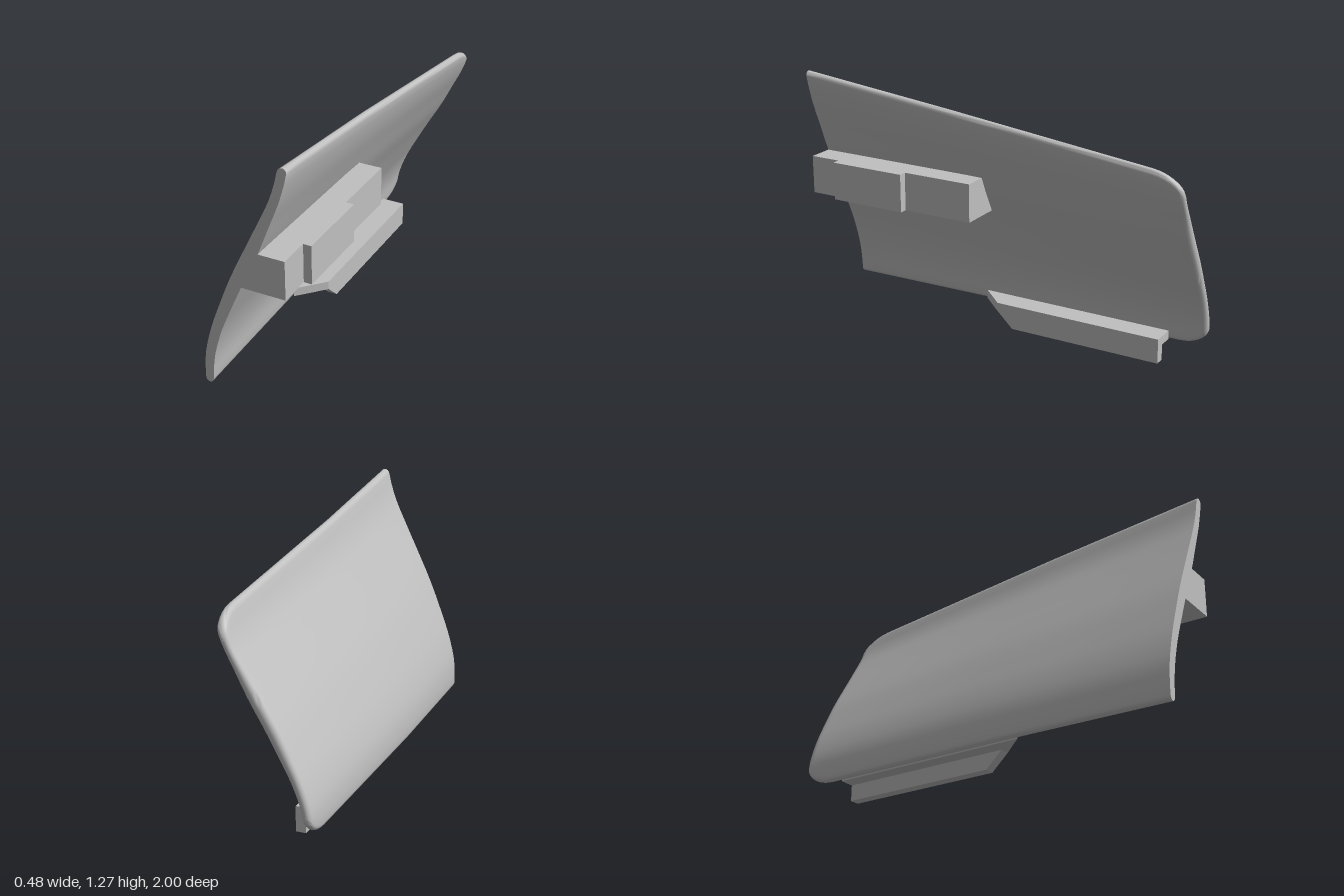
import * as THREE from 'three';
import { toCreasedNormals } from 'three/addons/utils/BufferGeometryUtils.js';

const BOTTOM = 0.08;

// S-shaped section, evenly spaced from bottom to top: (centre x, half thickness)
const section = new THREE.SplineCurve([
  [-0.207, 0.02], [-0.197, 0.024], [-0.158, 0.027], [-0.1, 0.031], [-0.037, 0.034],
  [0.033, 0.034], [0.099, 0.028], [0.162, 0.023], [0.2, 0.022],
].map(([x, h]) => new THREE.Vector2(x, h)));

// Quarter-round falloff towards an edge at distance d
function roundEdge(d, r) {
  const k = 1 - Math.min(d / r, 1);
  return Math.sqrt(Math.max(0, 1 - k * k));
}

// Curved panel lofted along z, with a sloping top and rounded rear corners
function panelGeometry() {
  const zs = [1, 0.9, 0.75, 0.6, 0.4, 0.2, 0, -0.2, -0.4, -0.6, -0.75, -0.85,
    -0.89, -0.92, -0.945, -0.965, -0.98, -0.99, -0.997, -1];
  const ends = [0, 0.002, 0.007, 0.014, 0.025];
  const inner = 24, n = ends.length * 2 + inner - 1;
  const pos = [], idx = [];

  for (const z of zs) {
    const top = 1.156 + 0.119 * z;
    const u = Math.max(0, (-0.85 - z) / 0.15);
    const inset = 0.1 * (1 - Math.sqrt(Math.max(0, 1 - u * u)));
    const lo = BOTTOM + inset, hi = top - inset;
    const shift = -0.018 * Math.min(1, (1 - z) / 0.8);
    const ys = ends.map((d) => lo + d);
    for (let k = 1; k < inner; k++) ys.push(lo + 0.025 + (hi - lo - 0.05) * k / inner);
    ys.push(...ends.map((d) => hi - d).reverse());

    const left = [], right = [];
    for (const y of ys) {
      const p = section.getPoint((y - BOTTOM) / (top - BOTTOM));
      const h = p.y * roundEdge(Math.min(y - lo, hi - y), 0.025) * roundEdge(z + 1, 0.025);
      left.push([p.x + shift - h, y, z]);
      right.push([p.x + shift + h, y, z]);
    }
    pos.push(...left.flat(), ...right.reverse().flat());
  }

  const ring = ys2(n);
  for (let i = 0; i < zs.length - 1; i++) {
    for (let j = 0; j < ring; j++) {
      const a = i * ring + j, b = i * ring + (j + 1) % ring;
      idx.push(a, b, a + ring, b, b + ring, a + ring);
    }
  }
  // Flat front end
  for (let k = 0; k < ring / 2 - 1; k++) {
    const r = ring - 1 - k;
    idx.push(k, r, k + 1, r, r - 1, k + 1);
  }

  const g = new THREE.BufferGeometry();
  g.setAttribute('position', new THREE.Float32BufferAttribute(pos, 3));
  g.setIndex(idx);
  return toCreasedNormals(g, 0.9);
}

// Points in a ring with n points on each side
function ys2(n) {
  return n * 2;
}

// Straight prism from a polygon
function prism(points, depth) {
  const shape = new THREE.Shape(points.map(([x, y]) => new THREE.Vector2(x, y)));
  return new THREE.ExtrudeGeometry(shape, { depth, bevelEnabled: false });
}

export function createModel() {
  const model = new THREE.Group();
  model.name = 'curvedPanel';
  const grey = new THREE.MeshStandardMaterial({ color: 0xc0c0c0 });
  grey.name = 'light grey';

  function add(name, geometry) {
    const mesh = new THREE.Mesh(geometry, grey);
    mesh.name = name;
    model.add(mesh);
  }

  add('panel', panelGeometry());

  // Mounting block on the inner face, with a raised pad
  add('mountingBlock', prism(
    [[-0.045, 0.643], [0.2, 0.643], [0.2, 0.835], [0.05, 0.835]], 0.925).translate(0, 0, 0.075));
  add('mountingPad', new THREE.BoxGeometry(0.05, 0.192, 0.4).translate(0.215, 0.739, 0.64));

  // Hooked ledge along the lower edge, tapered at its front
  add('ledge', prism(
    [[-0.205, -0.22], [-0.08, -0.085], [-0.08, 0.8], [-0.205, 0.8]], 0.045)
    .rotateX(-Math.PI / 2).translate(0, 0.08, 0));
  add('ledgeLip', prism(
    [[-0.085, 0.08], [0, 0], [0.8, 0], [0.8, 0.08]], 0.05)
    .rotateY(Math.PI / 2).translate(-0.13, 0, 0));

  return model;
}
